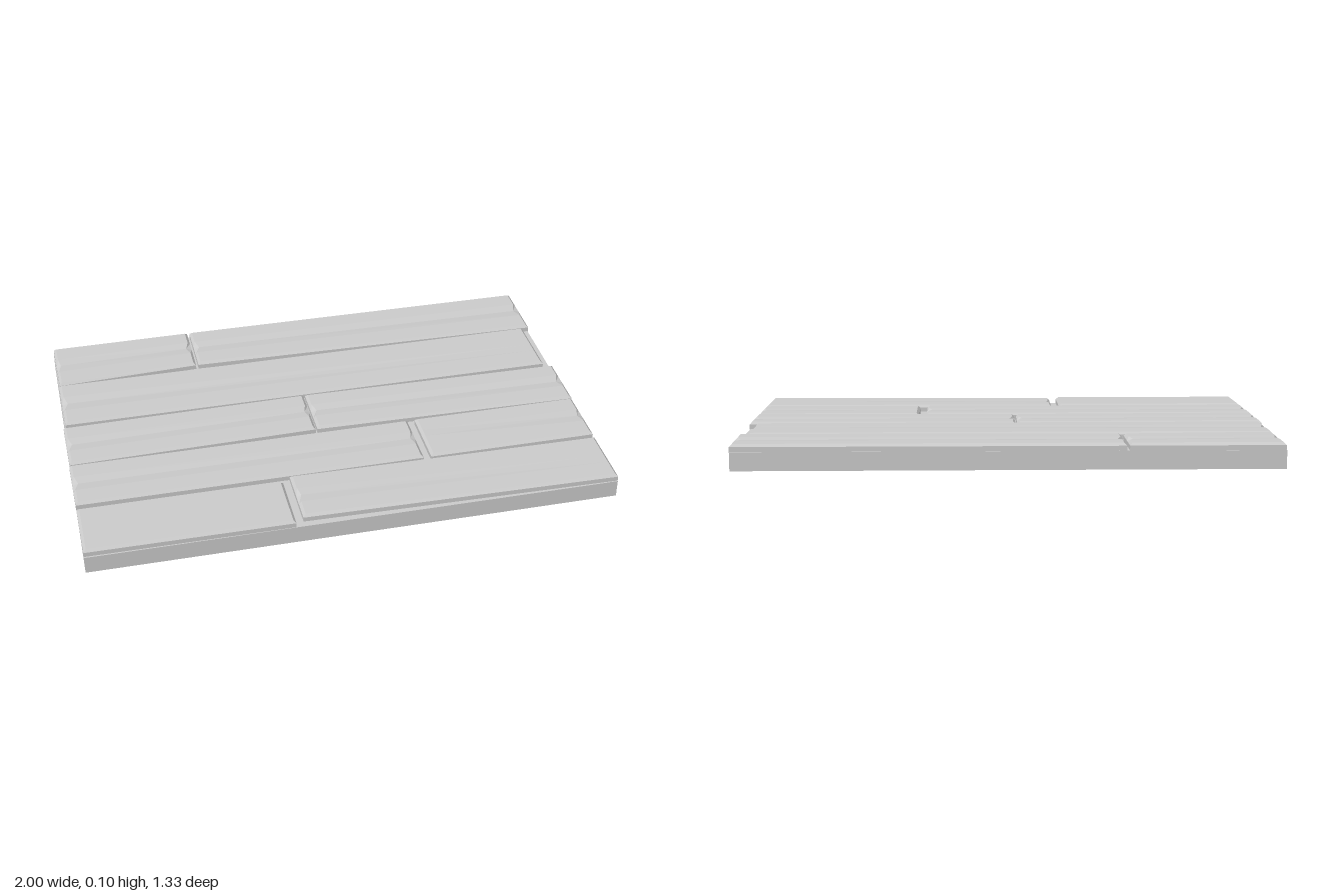
import * as THREE from 'three';

const BASE_TOP = 0.068, TOP = 0.096, BEVEL = 0.01;
const material = new THREE.MeshStandardMaterial({ color: 0xcccccc, flatShading: true });
const STEPS = [0, 0.32, 0.5, 0.68, 1];

// One ring of a plank: right end back to front, then left end front to back.
// The middle of each end is chipped inwards on the upper ring.
function ring(p, y, inset, chipped) {
  const end = (side) => STEPS.map((t, i) => {
    const s = side ? 1 : -1;
    const back = p.back[side] + inset, front = p.front[side] - inset;
    const chip = chipped && i === 2 ? p.chips[side] : 0;
    return new THREE.Vector3(p.x[side] - s * (inset + chip), y - chip * 0.3, back + (front - back) * t);
  });
  return [...end(1), ...end(0).reverse()];
}

// Worn plank with bevelled rim, lofted through three rings and capped on top
function plankGeometry(p) {
  const rings = [
    ring(p, BASE_TOP - 0.002, 0, false),
    ring(p, TOP - BEVEL, 0, false),
    ring(p, TOP, BEVEL, true),
  ];
  const pos = [];
  const quad = (a, b, c, d) => [a, b, c, a, c, d].forEach((v) => pos.push(v.x, v.y, v.z));
  const n = rings[0].length;
  for (let r = 0; r < 2; r++) {
    for (let i = 0; i < n; i++) {
      const j = (i + 1) % n;
      quad(rings[r][i], rings[r + 1][i], rings[r + 1][j], rings[r][j]);
    }
  }
  const top = rings[2];
  for (let i = 0; i < STEPS.length - 1; i++) {
    quad(top[n - 1 - i], top[n - 2 - i], top[i + 1], top[i]);
  }
  const g = new THREE.BufferGeometry();
  g.setAttribute('position', new THREE.Float32BufferAttribute(pos, 3));
  g.computeVertexNormals();
  return g;
}

// Each pair holds the value at the left-hand (-x) end and the right-hand (+x) end
const PLANKS = [
  { x: [-0.985, -0.425], back: [-0.662, -0.664], front: [-0.395, -0.423], chips: [0.008, 0.012] },
  { x: [-0.415, 0.998], back: [-0.664, -0.66], front: [-0.423, -0.397], chips: [0.012, 0.015] },
  { x: [-0.988, 0.968], back: [-0.39, -0.39], front: [-0.12, -0.12], chips: [0.012, 0] },
  { x: [-0.998, -0.043], back: [-0.098, -0.11], front: [0.14, 0.12], chips: [0.012, 0.01] },
  { x: [-0.036, 0.998], back: [-0.11, -0.095], front: [0.12, 0.14], chips: [0.012, 0.015] },
  { x: [-1, 0.317], back: [0.147, 0.147], front: [0.387, 0.387], chips: [0.012, 0.01] },
  { x: [0.347, 0.995], back: [0.145, 0.145], front: [0.387, 0.387], chips: [0, 0.01] },
  { x: [-1, -0.235], back: [0.418, 0.422], front: [0.658, 0.662], chips: [0, 0] },
  { x: [-0.204, 0.993], back: [0.393, 0.41], front: [0.637, 0.66], chips: [0.008, 0] },
];

export function createModel() {
  const group = new THREE.Group();
  group.name = 'plankFloor';

  // Base slab, its ends slightly out of square
  const slab = new THREE.BoxGeometry(2, BASE_TOP, 1.328);
  slab.translate(0, BASE_TOP / 2, 0);
  const v = slab.attributes.position;
  for (let i = 0; i < v.count; i++) {
    const back = v.getZ(i) < 0;
    if (v.getX(i) < 0) v.setX(i, back ? -0.987 : -1);
    else v.setX(i, back ? 0.997 : 0.992);
  }
  slab.computeVertexNormals();
  const base = new THREE.Mesh(slab, material);
  base.name = 'base';
  group.add(base);

  // Planks in five rows
  PLANKS.forEach((p, i) => {
    const mesh = new THREE.Mesh(plankGeometry(p), material);
    mesh.name = `plank${i + 1}`;
    group.add(mesh);
  });
  return group;
}
